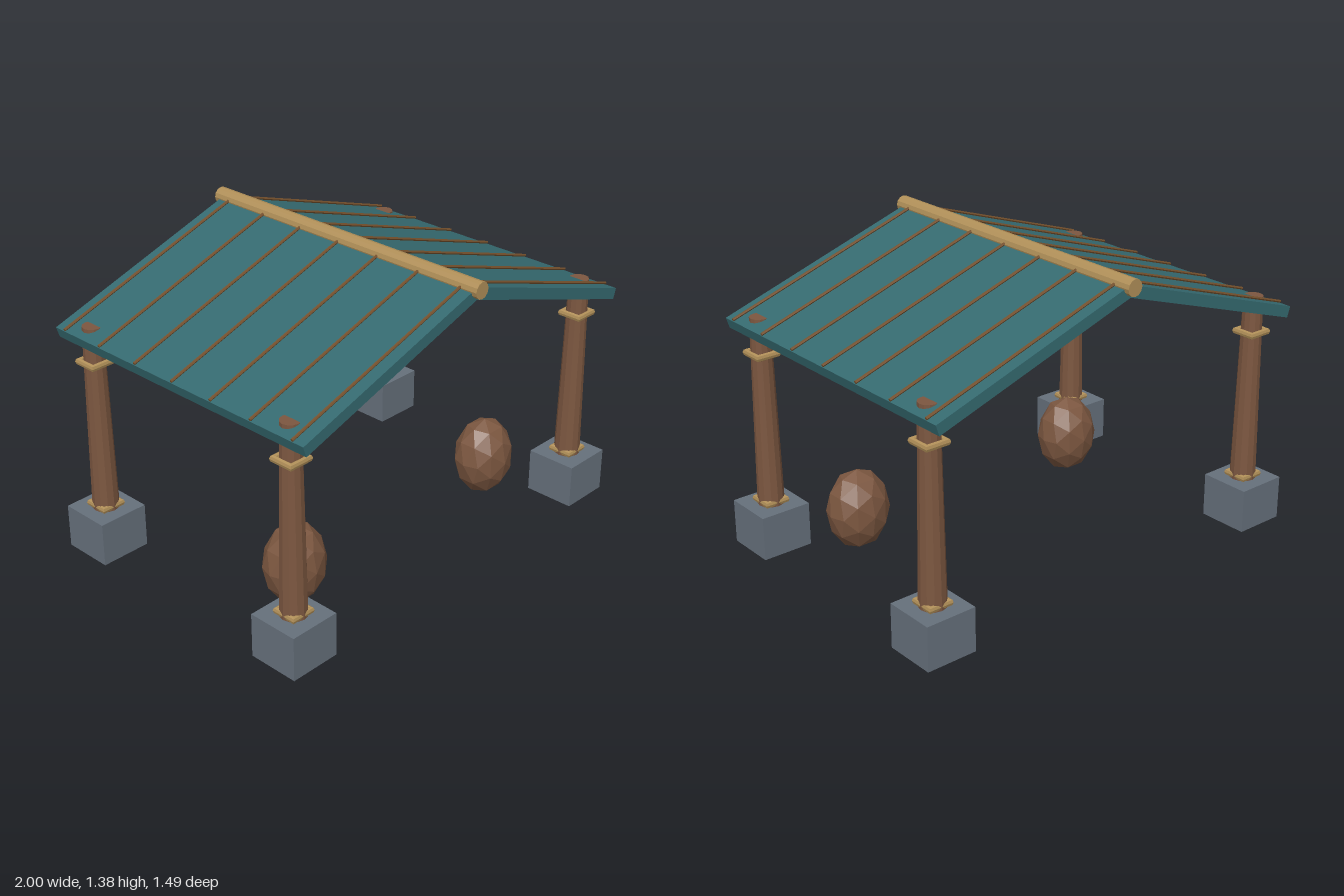
import * as THREE from 'three';

export function createModel() {
  const model = new THREE.Group();
  model.name = 'pavilion';

  const paint = (name, color) => {
    const m = new THREE.MeshStandardMaterial({ color });
    m.name = name;
    return m;
  };
  const teal = paint('teal roof', 0x356a70);
  const wood = paint('brown wood', 0x7c5740);
  const gold = paint('gold', 0xb08f58);
  const stone = paint('grey stone', 0x66707b);
  const cord = paint('dark cord', 0x76512d);
  for (const m of [wood, gold, cord]) m.flatShading = true;

  const add = (parent, name, geometry, material, x = 0, y = 0, z = 0) => {
    const mesh = new THREE.Mesh(geometry, material);
    mesh.name = name;
    mesh.position.set(x, y, z);
    parent.add(mesh);
    return mesh;
  };

  // Corner posts on stone footings, each with two square collars
  const footing = new THREE.BoxGeometry(0.235, 0.2, 0.235);
  const shaft = new THREE.CylinderGeometry(0.044, 0.059, 0.864, 12);
  const collar = new THREE.TorusGeometry(0.066, 0.016, 8, 4)
    .rotateX(Math.PI / 2).rotateY(Math.PI / 4);
  for (const sx of [-1, 1]) {
    for (const sz of [-1, 1]) {
      const post = new THREE.Group();
      post.name = 'cornerPost';
      post.position.set(sx * 0.8825, 0, sz * 0.577);
      add(post, 'footing', footing, stone, 0, 0.1, 0);
      add(post, 'shaft', shaft, wood, 0, 0.632, 0);
      add(post, 'lowerCollar', collar, gold, 0, 0.216, 0);
      add(post, 'upperCollar', collar, gold, 0, 0.9, 0);
      model.add(post);
    }
  }

  // Gabled roof: one folded slab run along z
  const ridgeY = 1.35, eaveX = 0.96, eaveY = 1.035, thick = 0.05;
  const pitch = Math.atan2(ridgeY - eaveY, eaveX);
  const inX = eaveX - thick * Math.sin(pitch), inY = eaveY - thick * Math.cos(pitch);
  const profile = new THREE.Shape([
    [0, ridgeY], [-eaveX, eaveY], [-inX, inY],
    [0, ridgeY - thick / Math.cos(pitch)], [inX, inY], [eaveX, eaveY],
  ].map(([x, y]) => new THREE.Vector2(x, y)));
  const slab = new THREE.ExtrudeGeometry(profile, { depth: 1.44, bevelEnabled: false });
  add(model, 'roof', slab, teal, 0, 0, -0.72);

  // Ridge pole
  const pole = new THREE.CylinderGeometry(0.037, 0.037, 1.49, 12).rotateX(Math.PI / 2);
  add(model, 'ridgePole', pole, gold, 0, 1.344, 0);

  // Battens running down both slopes
  const length = Math.hypot(eaveX, ridgeY - eaveY);
  const batten = new THREE.CylinderGeometry(0.0065, 0.0065, length, 6).rotateZ(Math.PI / 2);
  for (const s of [-1, 1]) {
    for (let i = -3; i <= 3; i++) {
      const b = add(model, 'batten', batten, cord,
        s * eaveX / 2, (ridgeY + eaveY) / 2 + 0.007, i * 0.2207);
      b.rotation.z = -s * pitch;
    }
  }

  // Faceted egg-shaped boulders near the front posts
  const egg = new THREE.IcosahedronGeometry(1, 1).scale(0.144, 0.185, 0.128);
  for (const s of [-1, 1]) add(model, 'boulder', egg, wood, s * 0.61, 0.185, 0.308);

  return model;
}
